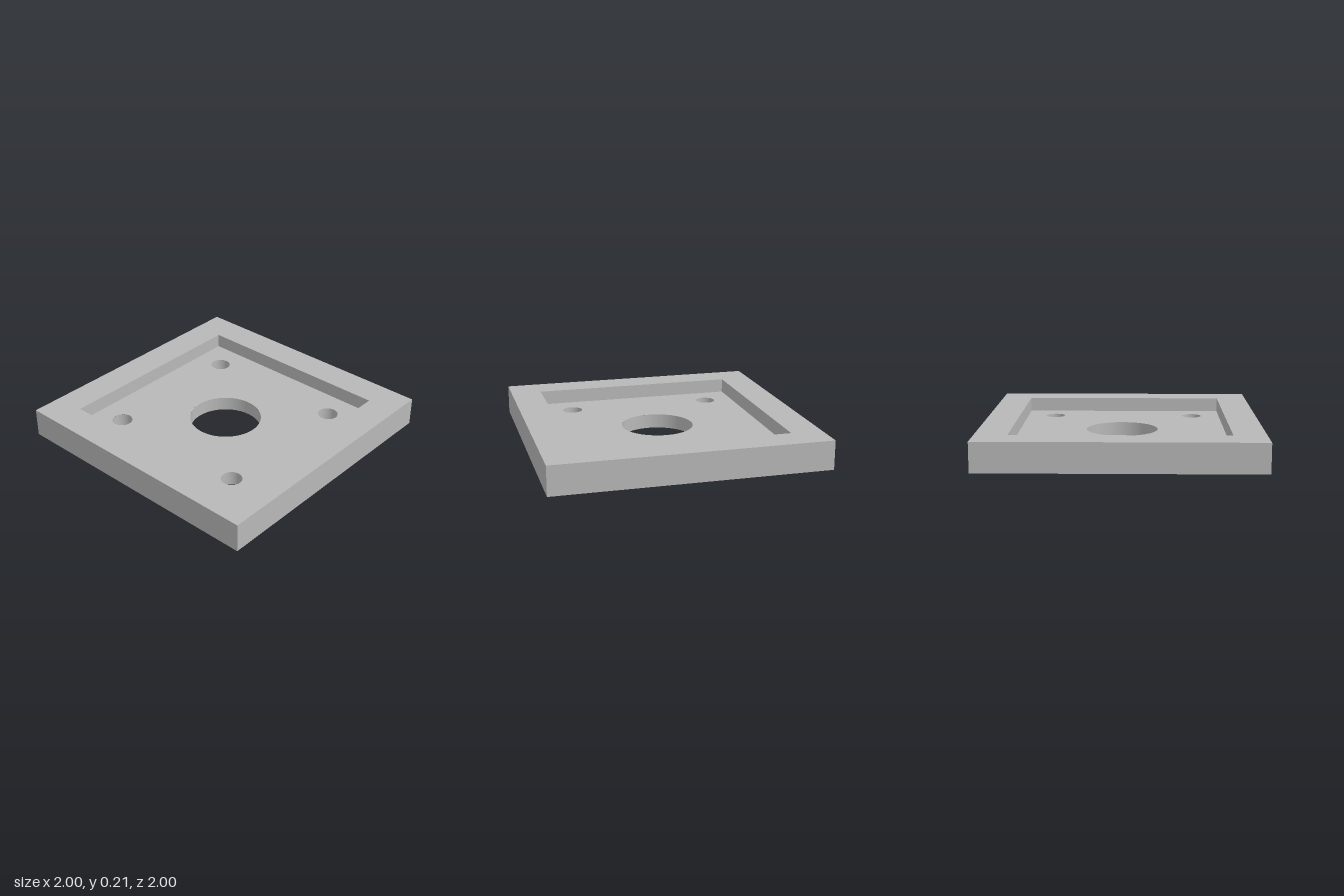
import * as THREE from 'three';
import { mergeGeometries } from 'three/addons/utils/BufferGeometryUtils.js';

const HEIGHT = 0.214, FLOOR = 0.107;
const OUTER = 1, RECESS = 0.768;
const SEGMENTS = 64;

// Centre bore and four corner bolt holes: [x, z, radius]
const HOLES = [[0, 0, 0.267]];
for (const x of [-0.55, 0.55]) for (const z of [-0.55, 0.55]) HOLES.push([x, z, 0.075]);

const square = (h, Type) => new Type([
  new THREE.Vector2(-h, -h), new THREE.Vector2(h, -h),
  new THREE.Vector2(h, h), new THREE.Vector2(-h, h),
]);

// Square sheet pierced by the holes
function piercedSquare(half) {
  const shape = square(half, THREE.Shape);
  for (const [x, z, r] of HOLES) {
    shape.holes.push(new THREE.Path().absarc(x, -z, r, 0, Math.PI * 2, true));
  }
  return shape;
}

// Horizontal face looking up (1) or down (-1)
function face(shape, y, dir) {
  return new THREE.ShapeGeometry(shape, SEGMENTS).rotateX(-dir * Math.PI / 2).translate(0, y, 0);
}

// Four upright walls facing outward (1) or inward (-1)
function walls(half, y0, y1, dir) {
  const sides = [];
  for (let i = 0; i < 4; i++) {
    sides.push(new THREE.PlaneGeometry(half * 2, y1 - y0)
      .translate(0, (y0 + y1) / 2, dir * half)
      .rotateY(i * Math.PI / 2));
  }
  return mergeGeometries(sides);
}

export function createModel() {
  const group = new THREE.Group();
  const grey = new THREE.MeshStandardMaterial({ color: 0xb8b8b8 });
  grey.name = 'grey';

  const add = (name, geometry) => {
    const mesh = new THREE.Mesh(geometry, grey);
    mesh.name = name;
    group.add(mesh);
    return mesh;
  };

  // Raised border
  const rim = square(OUTER, THREE.Shape);
  rim.holes.push(square(RECESS, THREE.Path));
  add('rimTop', face(rim, HEIGHT, 1));
  add('outerWalls', walls(OUTER, 0, HEIGHT, 1));

  // Sunken pocket and underside
  add('recessWalls', walls(RECESS, FLOOR, HEIGHT, -1));
  add('recessFloor', face(piercedSquare(RECESS), FLOOR, 1));
  add('underside', face(piercedSquare(OUTER), 0, -1));

  // Hole linings, profile runs downward so they face inward
  HOLES.forEach(([x, z, r], i) => {
    const profile = [new THREE.Vector2(r, FLOOR), new THREE.Vector2(r, 0)];
    add(i === 0 ? 'centreBore' : 'boltHole' + i, new THREE.LatheGeometry(profile, SEGMENTS))
      .position.set(x, 0, z);
  });

  return group;
}
